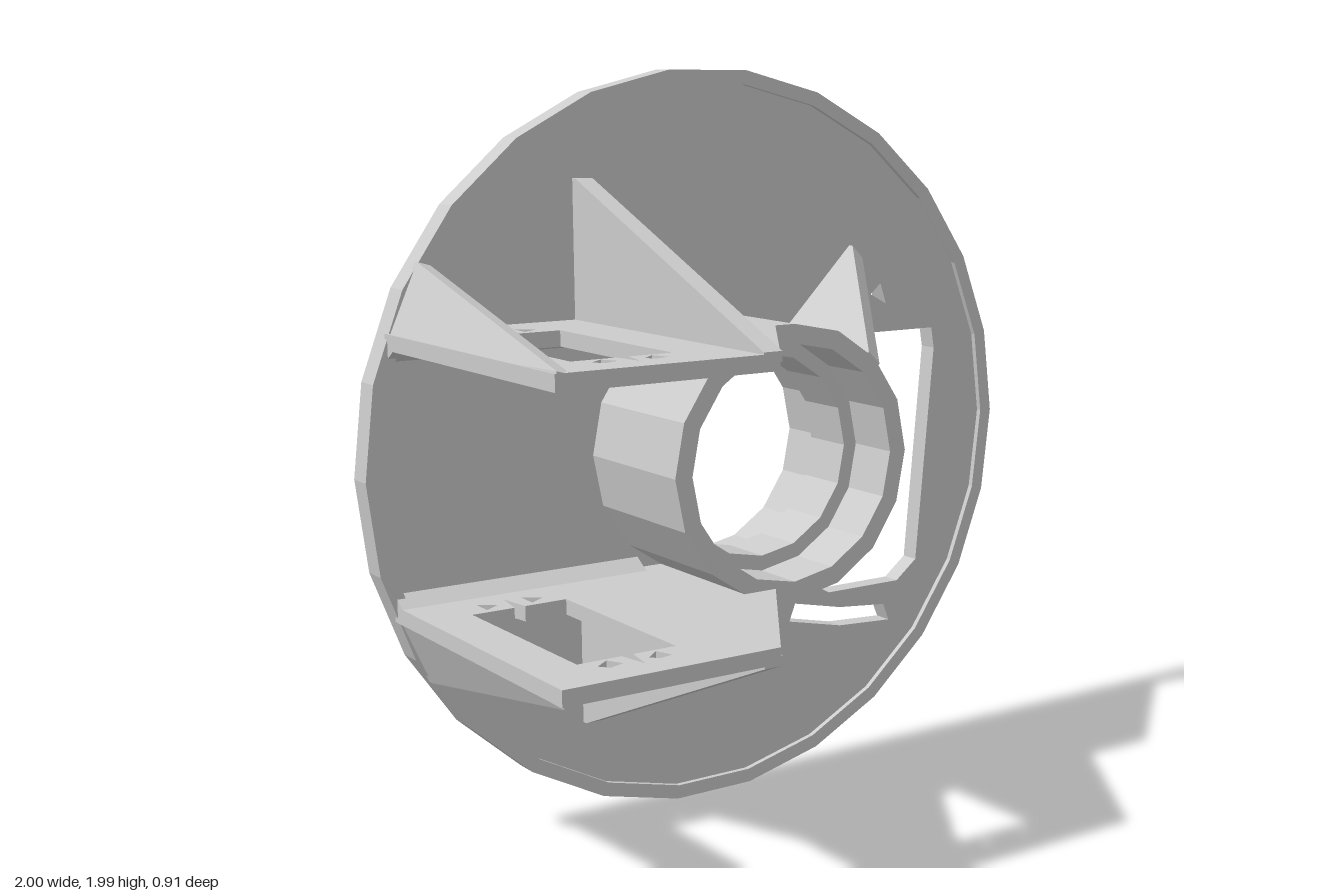
import * as THREE from 'three';
import { ConvexGeometry } from 'three/addons/geometries/ConvexGeometry.js';

const BACK = -0.46, FACE = -0.405, RIM = -0.39, FRONT = 0.45;

export function createModel() {
  const model = new THREE.Group();
  const material = new THREE.MeshStandardMaterial({ color: 0xcccccc, flatShading: true });

  const add = (name, geometry, parent = model) => {
    const mesh = new THREE.Mesh(geometry, material);
    mesh.name = name;
    parent.add(mesh);
    return mesh;
  };
  const points = (list) => list.map(([x, y]) => new THREE.Vector2(x, y));
  const polygon = (r, n, start = 0) => Array.from({ length: n }, (_, i) => {
    const a = start + (i / n) * Math.PI * 2;
    return [r * Math.cos(a), r * Math.sin(a)];
  });
  const plate = (outline, holes, depth) => {
    const shape = new THREE.Shape(points(outline));
    holes.forEach((h) => shape.holes.push(new THREE.Path(points(h))));
    return new THREE.ExtrudeGeometry(shape, { depth, bevelEnabled: false });
  };
  // Solid wedge: a flat face pushed along an offset
  const wedge = (face, offset) => {
    const base = face.map((p) => new THREE.Vector3(...p));
    const shift = new THREE.Vector3(...offset);
    return new ConvexGeometry([...base, ...base.map((p) => p.clone().add(shift))]);
  };

  // Round base plate with window, curved slot and pin hole (y measured from the axis)
  const boreHole = polygon(0.335, 16);
  const window = [[0.41, 0.26], [0.78, 0.26], [0.79, 0.2], [0.73, -0.43], [0.66, -0.485],
    [0.41, -0.485], [0.33, -0.44], [0.41, 0.03]];
  const slot = [[0.29, -0.5], [0.27, -0.55], [0.45, -0.59], [0.63, -0.6], [0.61, -0.55], [0.45, -0.535]];
  const pinHole = [[0.59, 0.4], [0.61, 0.34], [0.555, 0.37]];
  add('basePlate', plate(polygon(1, 26), [boreHole, window, slot, pinHole], FACE - BACK))
    .position.z = BACK;
  add('plateRim', plate(polygon(1, 26), [polygon(0.962, 26)], RIM - FACE)).position.z = FACE;

  // Central sleeve, bored from both ends with a lip in the middle
  const profile = [[0.31, BACK], [0.36, BACK], [0.36, 0], [0.31, 0], [0.31, -0.15],
    [0.27, -0.15], [0.27, -0.3], [0.31, -0.3], [0.31, BACK]];
  add('sleeve', new THREE.LatheGeometry(points(profile), 16).rotateX(Math.PI / 2));

  // Diagonal rib on the sleeve
  const d = Math.SQRT1_2, w = 0.025 * d;
  const onDiagonal = (r, z) => [r * d - w, r * d + w, z];
  add('diagonalRib', wedge([onDiagonal(0.32, 0), onDiagonal(0.36, 0), onDiagonal(0.70, RIM),
    onDiagonal(0.70, FACE), onDiagonal(0.32, FACE)], [2 * w, -2 * w, 0]));

  // Shelf outline and cut-outs, drawn in x and -z
  const shelfOutline = [[-0.93, -FRONT], [-0.36, -FRONT], [-0.06, 0], [0, 0], [0, -FACE], [-0.93, -FACE]];
  const opening = [[-0.81, -0.3], [-0.695, -0.3], [-0.68, -0.38], [-0.665, -0.3], [-0.55, -0.3],
    [-0.55, 0.22], [-0.665, 0.22], [-0.68, 0.31], [-0.695, 0.22], [-0.81, 0.22]];
  const smallHoles = [
    [[-0.76, 0.3], [-0.76, 0.24], [-0.715, 0.27]],
    [[-0.635, 0.3], [-0.635, 0.24], [-0.59, 0.27]],
    [[-0.78, -0.34], [-0.74, -0.31], [-0.72, -0.35], [-0.76, -0.365]],
    [[-0.65, -0.345], [-0.61, -0.31], [-0.595, -0.355], [-0.63, -0.365]],
  ];

  // Matching upper and lower shelves with their gussets
  for (const s of [1, -1]) {
    const bracket = new THREE.Group();
    bracket.name = s > 0 ? 'upperBracket' : 'lowerBracket';
    model.add(bracket);

    const shelf = plate(shelfOutline, [opening, ...smallHoles], 0.04).rotateX(-Math.PI / 2);
    add('shelf', shelf, bracket).position.y = s > 0 ? 0.32 : -0.36;

    // Upright gusset
    add('gusset', wedge([[-0.405, s * 0.34, FRONT], [-0.405, s * 0.365, FRONT], [-0.405, s * 0.72, RIM],
      [-0.405, s * 0.72, FACE], [-0.405, s * 0.34, FACE]], [0.05, 0, 0]), bracket);

    // Leaning gusset along the outer edge
    add('edgeGusset', wedge([[-0.93, s * 0.34, FRONT], [-0.925, s * 0.365, FRONT], [-0.845, s * 0.53, RIM],
      [-0.845, s * 0.53, FACE], [-0.93, s * 0.34, FACE]], [0.035, -s * 0.01, 0]), bracket);

    // Chamfer where the shelf meets the plate
    add('chamfer', wedge([[-0.93, s * 0.32, -0.36], [-0.93, s * 0.32, FACE], [-0.93, s * 0.29, FACE]],
      [0.7, 0, 0]), bracket);
  }

  model.position.y = 1;
  const root = new THREE.Group();
  root.name = 'flangedBracket';
  root.add(model);
  return root;
}
